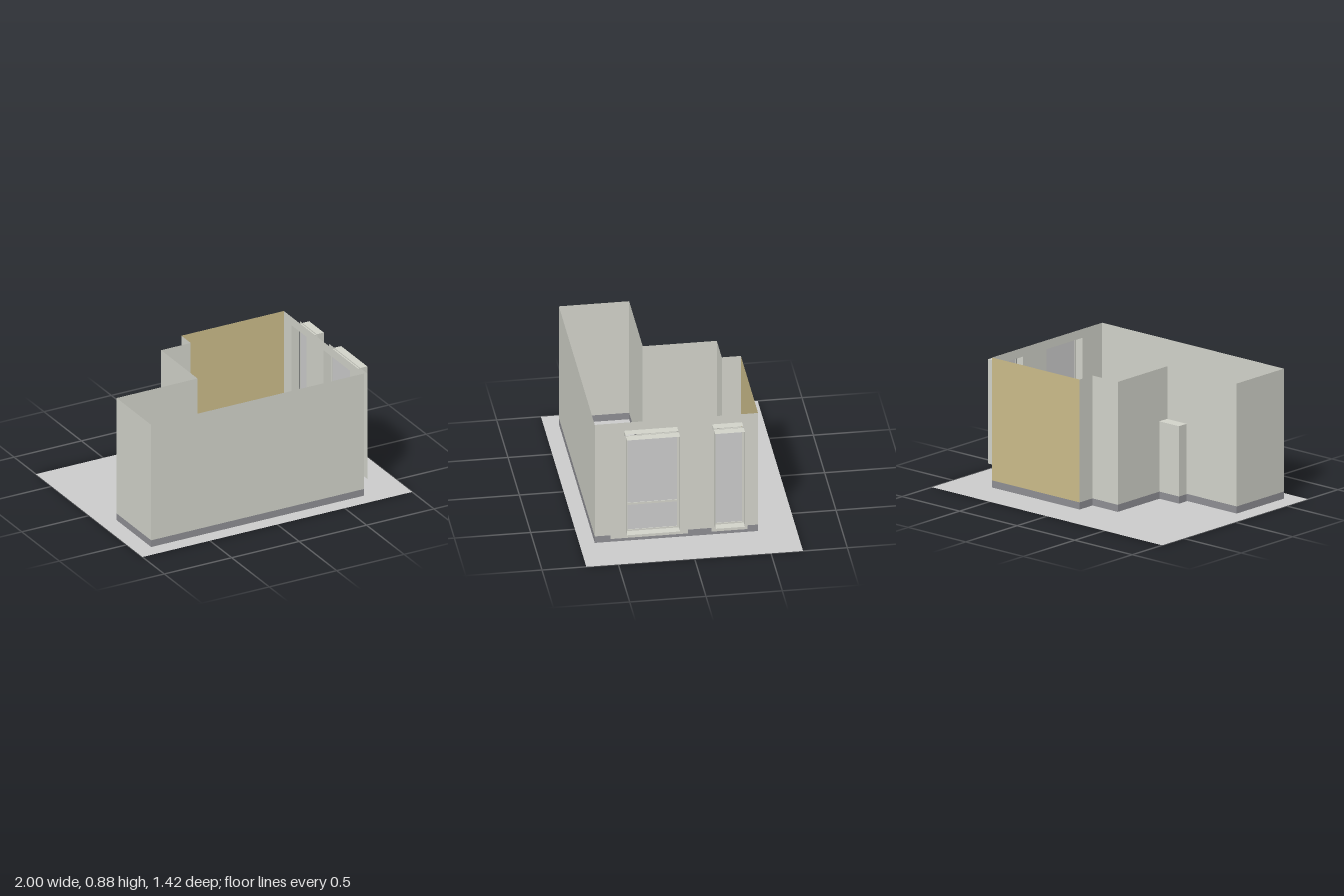
import * as THREE from 'three';

const mat = (color) => new THREE.MeshStandardMaterial({ color, side: THREE.DoubleSide, flatShading: true });

export function createModel() {
  const model = new THREE.Group();
  const wallMat = mat(0xd2d3ca), accentMat = mat(0xcbbc8a), skirtMat = mat(0x8f8f94), greyMat = mat(0xcccccc);
  const H = 0.88, SKIRT = 0.05, WALL_X = 0.7;

  const add = (parent, name, geometry, material, x = 0, y = 0, z = 0) => {
    const mesh = new THREE.Mesh(geometry, material);
    mesh.name = name;
    mesh.position.set(x, y, z);
    parent.add(mesh);
    return mesh;
  };

  // Upright sheet between two plan points [x, z]
  const sheet = (name, [x0, z0], [x1, z1], y0, y1, material) => {
    const geometry = new THREE.PlaneGeometry(Math.hypot(x1 - x0, z1 - z0), y1 - y0);
    geometry.rotateY(-Math.atan2(z1 - z0, x1 - x0));
    add(model, name, geometry, material, (x0 + x1) / 2, (y0 + y1) / 2, (z0 + z1) / 2);
  };

  // Sheet facing +x with rectangular holes; rectangles are [z0, z1, y0, y1]
  const trace = (path, [z0, z1, y0, y1]) => {
    path.moveTo(-z1, y0);
    path.lineTo(-z0, y0);
    path.lineTo(-z0, y1);
    path.lineTo(-z1, y1);
    path.closePath();
    return path;
  };
  const sideSheet = (parent, name, rect, holes, x) => {
    const shape = trace(new THREE.Shape(), rect);
    for (const hole of holes) shape.holes.push(trace(new THREE.Path(), hole));
    add(parent, name, new THREE.ShapeGeometry(shape).rotateY(Math.PI / 2), wallMat, x);
  };

  // Ground
  add(model, 'ground', new THREE.PlaneGeometry(2, 1.42).rotateX(-Math.PI / 2), greyMat);

  // Walls follow the stepped floor plan, each over a dark skirting
  const plan = [
    [0.7, 0.61], [0.7, -0.46], [-0.06, -0.46], [-0.06, -0.335],
    [-0.28, -0.335], [-0.28, 0.15], [-0.88, 0.15], [-0.88, 0.61],
  ];
  plan.forEach((a, i) => {
    const b = plan[(i + 1) % plan.length];
    sheet('skirting', a, b, 0.002, SKIRT, skirtMat);
    if (i > 0) sheet(i === 1 ? 'accentWall' : 'wall', a, b, SKIRT, H, i === 1 ? accentMat : wallMat);
  });

  // Windows: opening, surrounding panel and the heights of the glass panes
  const windows = [
    { name: 'wideWindow', open: [0.07, 0.418, 0.115, 0.82], panel: [0.01, 0.518, 0.065, 0.823], panes: [[0.125, 0.309], [0.324, 0.812]] },
    { name: 'narrowWindow', open: [-0.355, -0.16, 0.115, 0.82], panel: [-0.378, -0.145, 0.065, 0.823], panes: [[0.122, 0.812]] },
  ];
  sideSheet(model, 'windowWall', [-0.46, 0.61, SKIRT, H], windows.map((w) => w.open), WALL_X);

  for (const { name, open, panel, panes } of windows) {
    const group = new THREE.Group();
    group.name = name;
    model.add(group);
    const [z0, z1, y0, y1] = open;
    const w = z1 - z0, h = y1 - y0, zc = (z0 + z1) / 2, yc = (y0 + y1) / 2;
    const inset = [z0 + 0.008, z1 - 0.008, y0 + 0.008, y1 - 0.008];

    // Inner and outer reveals: open rectangular sleeves
    for (const x of [0.7275, 0.8025]) {
      for (const y of [y0, y1]) add(group, 'reveal', new THREE.PlaneGeometry(0.055, w).rotateX(-Math.PI / 2), wallMat, x, y, zc);
      for (const z of [z0, z1]) add(group, 'reveal', new THREE.PlaneGeometry(0.055, h), wallMat, x, yc, z);
    }

    // Flat panel around the window, and the slim frame with its bars
    sideSheet(group, 'outerPanel', panel, [inset], 0.775);
    const bars = panes.length > 1 ? [0.3165] : [];
    for (const y of bars) add(group, 'crossBar', new THREE.BoxGeometry(0.02, 0.015, w - 0.016), wallMat, 0.765, y, zc);
    for (const y of [inset[2], inset[3]]) add(group, 'frameRail', new THREE.BoxGeometry(0.02, 0.006, w - 0.01), wallMat, 0.765, y, zc);
    for (const z of [inset[0], inset[1]]) add(group, 'frameStile', new THREE.BoxGeometry(0.02, h - 0.016, 0.006), wallMat, 0.765, yc, z);

    // Glass
    for (const [a, b] of panes) {
      add(group, 'glass', new THREE.BoxGeometry(0.012, b - a, w - 0.02), greyMat, 0.765, (a + b) / 2, zc);
    }
  }

  // Low pillar in the outside corner
  add(model, 'pillar', new THREE.BoxGeometry(0.17, 0.475, 0.075), wallMat, -0.365, 0.2875, 0.1075);
  add(model, 'pillarSkirting', new THREE.BoxGeometry(0.17, 0.048, 0.075), skirtMat, -0.365, 0.026, 0.1075);

  return model;
}
